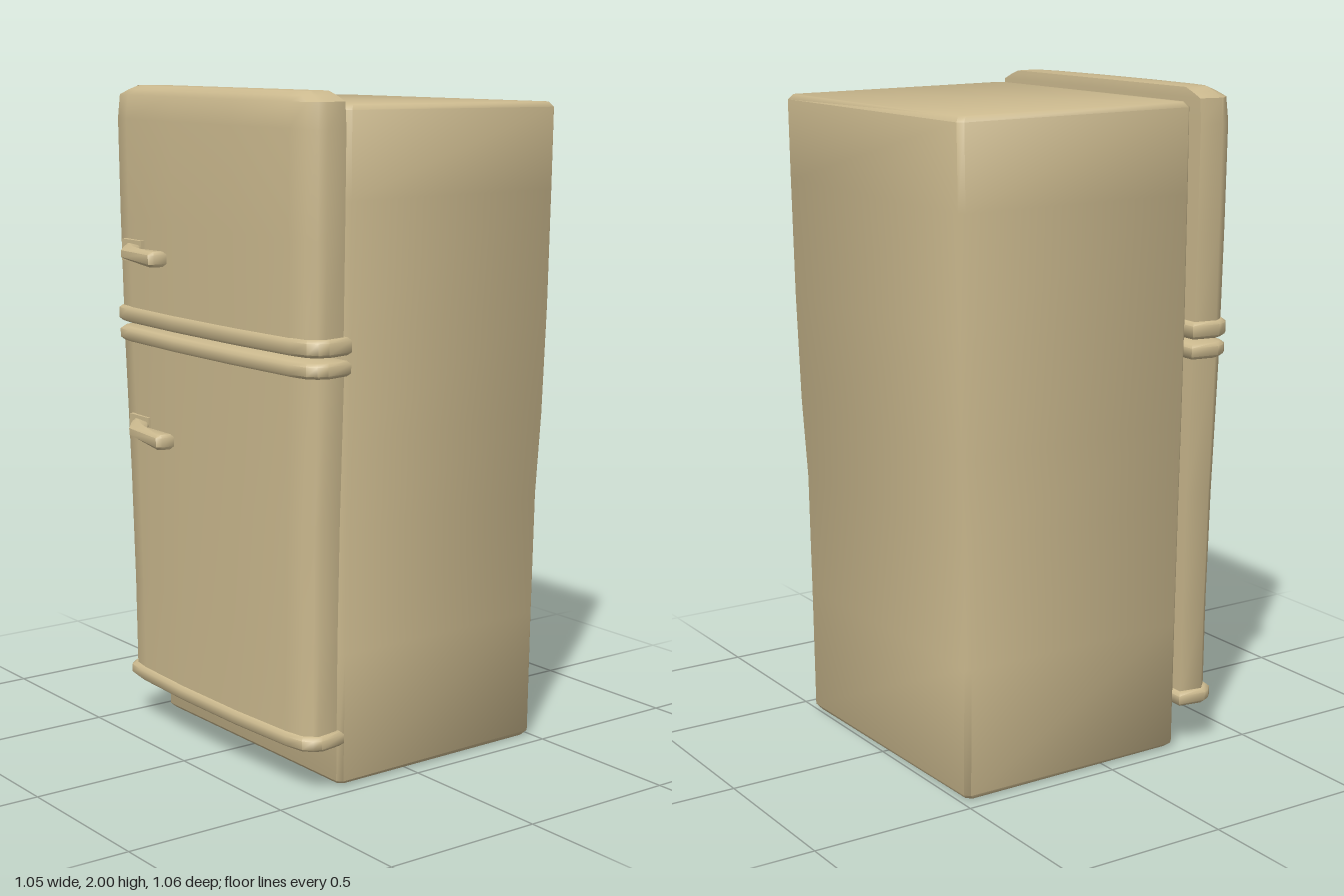
import * as THREE from 'three';
import { toCreasedNormals } from 'three/addons/utils/BufferGeometryUtils.js';

const material = new THREE.MeshStandardMaterial({ color: 0xcbb98e });

// Skin a stack of closed rings (counter-clockwise from above, bottom to top) and cap both ends.
function loft(name, rings, crease = 1.0) {
  const n = rings[0].length, last = (rings.length - 1) * n, index = [];
  for (let r = 0; r < rings.length - 1; r++) {
    for (let i = 0; i < n; i++) {
      const a = r * n + i, b = r * n + (i + 1) % n;
      index.push(a, b, b + n, a, b + n, a + n);
    }
  }
  const flat = rings[0].map(([x, , z]) => new THREE.Vector2(x, -z));
  for (const [a, b, c] of THREE.ShapeUtils.triangulateShape(flat, [])) {
    index.push(a, c, b, last + a, last + b, last + c);
  }
  const geometry = new THREE.BufferGeometry();
  geometry.setAttribute('position', new THREE.Float32BufferAttribute(rings.flat(2), 3));
  geometry.setIndex(index);
  const mesh = new THREE.Mesh(toCreasedNormals(geometry, crease), material);
  mesh.name = name;
  return mesh;
}

// Cabinet ring: rectangle with bevelled corners, slightly skewed at the back.
function cabinetRing(y, w, back, inset = 0, tilt = 0) {
  const b = 0.015, f = 0.262 - inset, k = back + inset, l = -w + inset, r = w - inset;
  const rb = r - 0.017, kl = k + 0.013;
  return [
    [l + b, kl], [l, kl + b], [l, f - b], [l + b, f],
    [r - b, f], [r, f - b], [rb, k + b], [rb - b, k],
  ].map(([x, z]) => [x, y + tilt * (z - 0.26), z]);
}

// Door ring: flat back, flared sides, rounded corners and a gently bowed front.
function doorRing(y, w, front, back, inset = 0) {
  const half = [
    [w - 0.012, back], [w, 0.35], [w - 0.012, front - 0.045], [w - 0.035, front - 0.022],
    [w - 0.1, front - 0.011], [w * 0.3, front],
  ].map(([x, z], i) => [x - inset, y, i ? z - inset : z + inset]);
  return [...half.map(([x, , z]) => [-x, y, z]), ...half.reverse()];
}

// Rounded trim strip wrapped around a door edge.
function trim(name, y0, y1, w, front) {
  const e = 0.009;
  return loft(name, [
    doorRing(y0, w, front, 0.262, e), doorRing(y0 + e, w, front, 0.262),
    doorRing(y1 - e, w, front, 0.262), doorRing(y1, w, front, 0.262, e),
  ]);
}

// Handle: mounting plate and a bent arm that swells toward its free end.
function handle(name, x, y, z) {
  const group = new THREE.Group();
  group.name = name;
  const plate = new THREE.Mesh(new THREE.BoxGeometry(0.11, 0.066, 0.025), material);
  plate.name = 'handlePlate';
  plate.position.set(-0.378, 0, 0.412);
  const outline = [
    [-0.425, 0.415, 0.024], [-0.39, 0.445, 0.02], [-0.322, 0.495, 0.017], [-0.118, 0.528, 0.023],
    [-0.107, 0.515, 0.023], [-0.105, 0.472, 0.023], [-0.29, 0.452, 0.017], [-0.335, 0.415, 0.02],
  ];
  const cx = [0.012, 0.01, 0.004, -0.008, -0.008, -0.006, -0.004, -0.012];
  const cz = [0, -0.008, -0.012, -0.01, -0.004, 0.01, 0.01, 0];
  const ring = (s, inset) => outline.map(([px, pz, h], i) => [px + cx[i] * inset, s * h, pz + cz[i] * inset]);
  const arm = loft('handleArm', [ring(-1, 1), ring(-0.6, 0), ring(0.6, 0), ring(1, 1)], 0.8);
  group.add(plate, arm);
  group.position.set(x, y, z);
  return group;
}

export function createModel() {
  const fridge = new THREE.Group();
  fridge.name = 'refrigerator';

  // Cabinet: narrower at the foot, back wall leaning outward above the middle
  fridge.add(loft('cabinet', [
    cabinetRing(0.004, 0.458, -0.498, 0.012, 0.006),
    cabinetRing(0.016, 0.46, -0.5),
    cabinetRing(0.4, 0.467, -0.5),
    cabinetRing(0.77, 0.475, -0.501),
    cabinetRing(1.02, 0.482, -0.514),
    cabinetRing(1.35, 0.489, -0.522),
    cabinetRing(1.7, 0.492, -0.527),
    cabinetRing(1.948, 0.493, -0.53, 0, 0.008),
    cabinetRing(1.963, 0.493, -0.53, 0.012, 0.008),
  ]));

  // Lower door
  fridge.add(loft('lowerDoor', [
    doorRing(0.15, 0.478, 0.406, 0.277),
    doorRing(0.45, 0.482, 0.407, 0.277),
    doorRing(0.8, 0.492, 0.41, 0.277),
    doorRing(1.24, 0.511, 0.415, 0.277),
  ]));

  // Upper door with rounded top
  fridge.add(loft('upperDoor', [
    doorRing(1.3, 0.511, 0.416, 0.28),
    doorRing(1.6, 0.517, 0.419, 0.28),
    doorRing(1.9, 0.522, 0.42, 0.28),
    doorRing(1.972, 0.517, 0.415, 0.28),
    doorRing(1.988, 0.48, 0.405, 0.281),
    doorRing(2.0, 0.445, 0.393, 0.283),
  ]));

  // Trim strips at the door edges
  fridge.add(
    trim('lowerDoorBottomTrim', 0.135, 0.178, 0.495, 0.418),
    trim('lowerDoorTopTrim', 1.217, 1.261, 0.523, 0.423),
    trim('upperDoorBottomTrim', 1.277, 1.327, 0.527, 0.424),
  );

  // Door handles
  fridge.add(
    handle('upperHandle', 0, 1.504, 0),
    handle('lowerHandle', 0.01, 0.96, -0.012),
  );
  return fridge;
}
